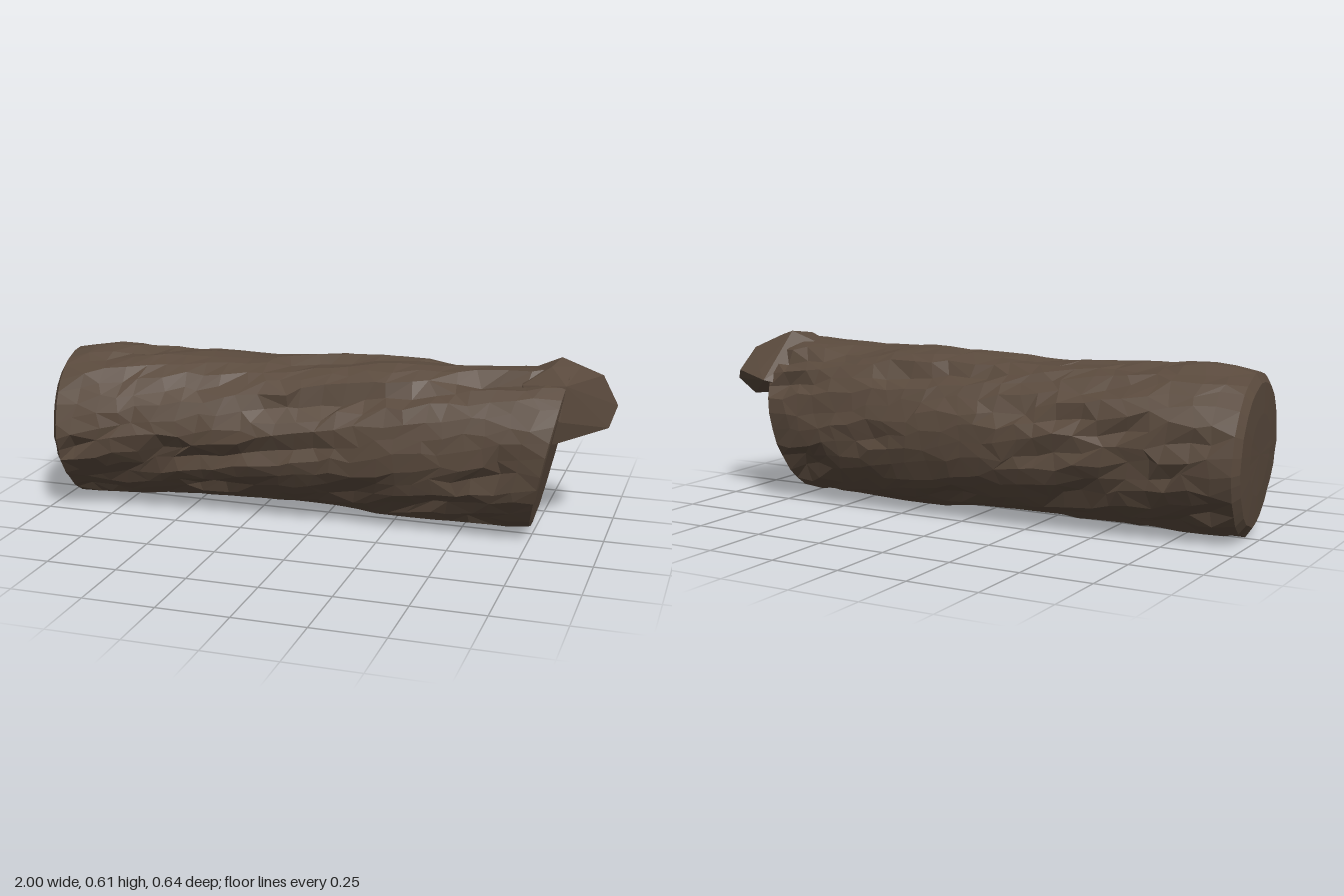
import * as THREE from 'three';
import { ConvexGeometry } from 'three/addons/geometries/ConvexGeometry.js';

const SIDES = 32, RINGS = 24;

// Repeatable value in 0..1 for a pair of integers
function hash(a, b) {
  const s = Math.sin(a * 127.1 + b * 311.7) * 43758.5453;
  return s - Math.floor(s);
}

// Interpolate a short list of [x, value] stations
function at(list, x) {
  if (x <= list[0][0]) return list[0][1];
  for (let i = 1; i < list.length; i++) {
    const [x0, v0] = list[i - 1], [x1, v1] = list[i];
    if (x <= x1) return v0 + (v1 - v0) * (x - x0) / (x1 - x0);
  }
  return list[list.length - 1][1];
}

// Outline of the bent trunk
const back = [[-0.97, -0.245], [-0.4, -0.302], [0.2, -0.318], [0.5, -0.316], [0.8, -0.303], [0.87, -0.275]];
const front = [[-0.92, 0.323], [-0.6, 0.265], [-0.4, 0.237], [0, 0.212], [0.45, 0.193], [0.8, 0.19]];
const top = [[-0.96, 0.565], [-0.8, 0.585], [-0.25, 0.566], [0.25, 0.593], [0.55, 0.582], [0.85, 0.592]];
const bottom = [[-0.95, 0.003], [-0.8, 0.006], [-0.4, 0.025], [0, 0.028], [0.2, 0.012], [0.75, 0.02]];

// Bark strands: mostly smooth, with long cracks sinking along some columns
function strand(j, i) {
  const p = i / 3.5 + hash(j, 91) * 5, k = Math.floor(p), f = p - k;
  const s = f * f * (3 - 2 * f);
  const v = hash(j, k) * (1 - s) + hash(j, k + 1) * s;
  return 0.006 - 0.042 * Math.pow(v, 3.5);
}

function barkPoint(i, j) {
  const t = i / RINGS, edge = i === 0 || i === RINGS;
  const shift = edge ? 0 : 0.6 * (hash(i, j + 50) - 0.5);
  const a = (j + 0.5 * (hash(j, i + 7) - 0.5)) / SIDES * Math.PI * 2 - 1.05 * (t - 0.5);
  const c = Math.cos(a), s = Math.sin(a);
  const xLeft = -0.955 + 0.03 * s - 0.01 * c, xRight = 0.797 + 0.06 * c + 0.008 * s;
  const x = xLeft + (xRight - xLeft) * (i + shift) / RINGS;
  const y0 = at(bottom, x), y1 = at(top, x), z0 = at(back, x), z1 = at(front, x);
  // Flattened lower front, fading along the log
  const flat = 0.028 * Math.pow(Math.max(0, Math.cos(a - 2.43)), 6) * (1 - t);
  const d = strand(j, i) * (edge ? 0.2 : 1) + 0.004 * (hash(i + 3, j) - 0.5) - (edge ? 0.004 : 0) - flat;
  return [x, (y0 + y1) / 2 + c * ((y1 - y0) / 2 + d), (z0 + z1) / 2 + s * ((z1 - z0) / 2 + d)];
}

// Skin closed rings of points, faceted
function loft(rings) {
  const pos = [];
  for (let i = 0; i < rings.length - 1; i++) {
    for (let j = 0; j < SIDES; j++) {
      const k = (j + 1) % SIDES;
      const a = rings[i][j], b = rings[i][k], c = rings[i + 1][j], d = rings[i + 1][k];
      if (hash(i, j) > 0.5) pos.push(...a, ...b, ...c, ...b, ...d, ...c);
      else pos.push(...a, ...b, ...d, ...a, ...d, ...c);
    }
  }
  const g = new THREE.BufferGeometry();
  g.setAttribute('position', new THREE.Float32BufferAttribute(pos, 3));
  g.computeVertexNormals();
  return g;
}

// Rings shrinking from a rim to its centre, pushed along x
function capRings(rim, steps) {
  const m = [0, 1, 2].map(n => rim.reduce((s, p) => s + p[n], 0) / SIDES);
  return steps.map(([r, push]) =>
    rim.map(p => [m[0] + (p[0] - m[0]) * r + push, m[1] + (p[1] - m[1]) * r, m[2] + (p[2] - m[2]) * r]));
}

export function createModel() {
  const group = new THREE.Group();
  const wood = new THREE.MeshStandardMaterial({ color: 0x5a4a3d });
  wood.name = 'brownBark';
  const add = (name, geometry) => {
    const mesh = new THREE.Mesh(geometry, wood);
    mesh.name = name;
    group.add(mesh);
  };

  // Trunk
  const rings = [];
  for (let i = 0; i <= RINGS; i++) {
    rings.push(Array.from({ length: SIDES }, (_, j) => barkPoint(i, j)));
  }
  add('bark', loft(rings));

  // Flat ends, the right one slightly domed
  add('rightEnd', loft(capRings(rings[0], [[1, 0], [0.88, -0.022], [0.5, -0.026], [0, -0.026]]).reverse()));
  add('leftEnd', loft(capRings(rings[RINGS], [[1, 0], [0.94, 0.004], [0, 0.004]])));

  // Splintered overhang left on the upper part of the broken end
  const splinter = [
    [0.825, 0.37, 0.1], [0.845, 0.45, 0.1], [0.855, 0.565, 0.06], [0.98, 0.375, -0.14], [1, 0.44, -0.21],
    [0.97, 0.475, -0.24], [0.95, 0.555, -0.17], [0.88, 0.6, -0.09], [0.81, 0.62, -0.125], [0.79, 0.607, -0.03],
    [0.87, 0.48, -0.25], [0.83, 0.45, -0.28], [0.7, 0.575, -0.1], [0.7, 0.55, 0.03], [0.72, 0.42, -0.22],
    [0.72, 0.38, 0.05],
  ];
  add('splinter', new ConvexGeometry(splinter.map(p => new THREE.Vector3(...p))));

  return group;
}
